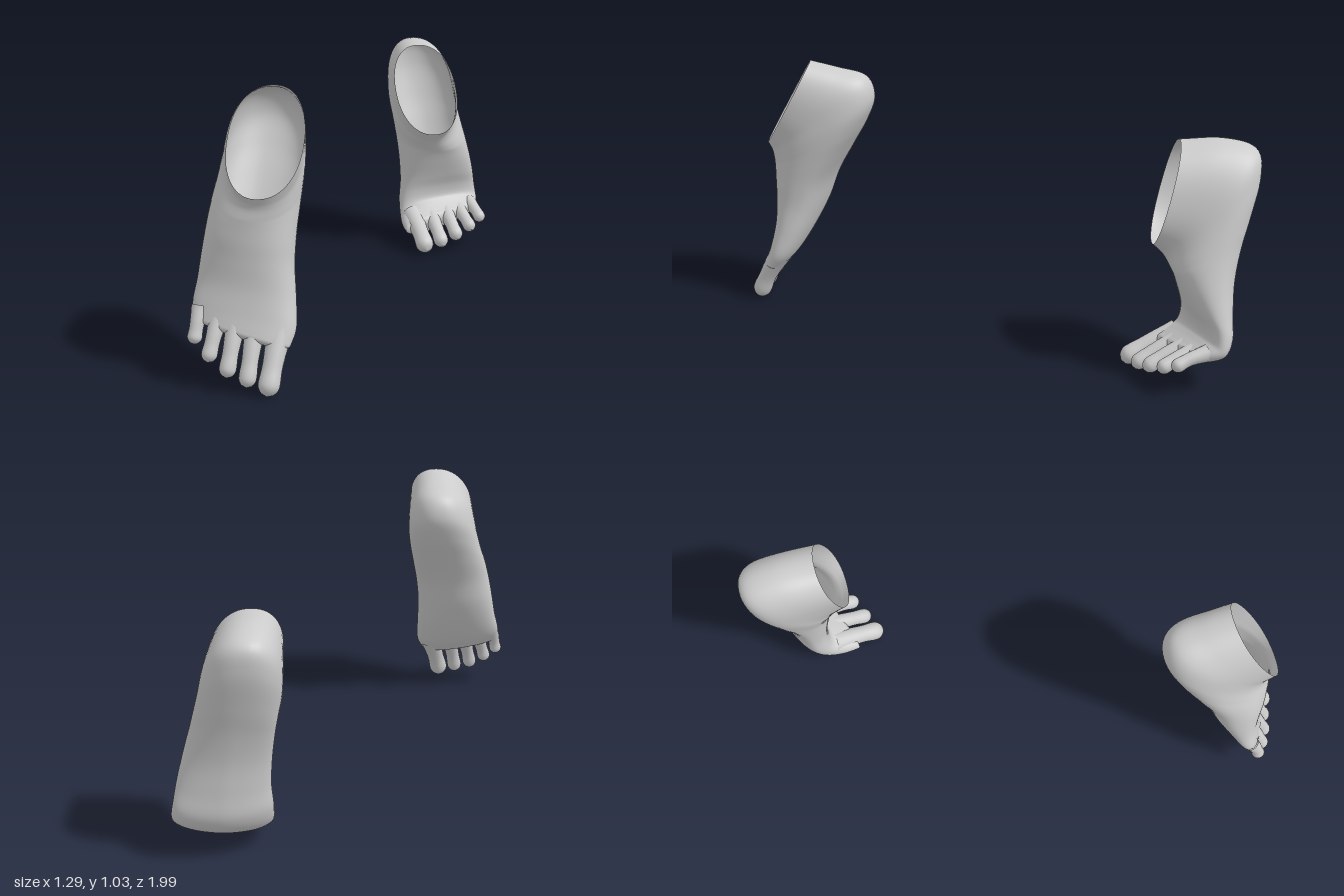
import * as THREE from 'three';
import { mergeVertices } from 'three/addons/utils/BufferGeometryUtils.js';

const V = (x, y, z) => new THREE.Vector3(x, y, z);
const material = new THREE.MeshStandardMaterial({ color: 0xcccccc, side: THREE.DoubleSide });
const signedPow = (v, e) => Math.sign(v) * Math.abs(v) ** e;
const spline = pts => new THREE.CatmullRomCurve3(pts, false, 'catmullrom', 0.5);

// Skin over rings of points that run from the toes to the ankle opening
function skin(rings) {
  const n = rings[0].length, index = [];
  for (let i = 0; i < rings.length - 1; i++) {
    for (let j = 0; j < n; j++) {
      const k = (j + 1) % n, a = i * n, b = a + n;
      index.push(a + j, a + k, b + k, a + j, b + k, b + j);
    }
  }
  const geo = new THREE.BufferGeometry().setFromPoints(rings.flat());
  geo.setIndex(index);
  geo.computeVertexNormals();
  return geo;
}

// Sections: [top z, top y, sole z, sole y, centre x, half width]; inner = side of the big toe
function footBody({ sections, inner, yaw, roll }) {
  const top = spline(sections.map(s => V(s[4], s[1], s[0])));
  const sole = spline(sections.map(s => V(s[4], s[3], s[2])));
  const width = spline(sections.map(s => V(s[5], 0, 0)));
  const N = 64, ROWS = 72, rings = [];

  const ring = u => {
    const f = top.getPoint(u), b = sole.getPoint(u), hw = width.getPoint(u).x;
    const mid = f.clone().add(b).multiplyScalar(0.5), half = f.clone().sub(b).multiplyScalar(0.5);
    const fade = Math.max(0, 1 - u * 1.7);
    const arch = 0.3 * Math.sin(Math.PI * Math.min(1, u * 1.35)) ** 2;
    return Array.from({ length: N }, (_, j) => {
      const a = j / N * Math.PI * 2;
      const c = signedPow(Math.cos(a), 0.9), s = signedPow(Math.sin(a), 0.9);
      const side = s * inner;                                   // +1 at the big toe side
      let depth = c * (1 + 0.18 * side * fade);
      if (c < 0) depth *= 1 - arch * Math.max(0, side);         // hollow of the arch
      const p = mid.clone().addScaledVector(half, depth);
      p.x += s * hw - inner * 0.03 * c * u;
      p.z += yaw * hw * side * fade;
      p.y -= roll * hw * side * fade;
      return p;
    });
  };

  // rounded end between the toes
  const first = ring(0), centre = first.reduce((m, p) => m.add(p), V(0, 0, 0)).divideScalar(N);
  const ahead = top.getPoint(0).add(sole.getPoint(0)).sub(top.getPoint(0.06)).sub(sole.getPoint(0.06)).normalize();
  for (let k = 0; k < 6; k++) {
    const a = k / 6 * Math.PI / 2;
    rings.push(first.map(p => centre.clone().lerp(p, Math.max(0.001, Math.sin(a)))
      .addScaledVector(ahead, 0.025 * Math.cos(a))));
  }
  for (let i = 0; i <= ROWS; i++) rings.push(ring(i / ROWS));
  return skin(rings);
}

// Toe: a tube with a thick root, a narrow neck and a round pad
function toe(base, tip, r) {
  const a = V(...base), b = V(...tip);
  const mid = a.clone().lerp(b, 0.5).add(V(0, 0.006, 0.004));
  const curve = spline([a, mid, b]), SEG = 36, RAD = 20, length = curve.getLength();
  const geo = new THREE.TubeGeometry(curve, SEG, 1, RAD);
  const pos = geo.attributes.position, p = V(0, 0, 0);
  for (let i = 0; i <= SEG; i++) {
    const t = i / SEG, c = curve.getPointAt(t);
    const end = Math.max(0, 1 - (1 - t) * length / r);
    const radius = r * (0.86 + 0.4 * (1 - t) ** 2 + 0.14 * Math.exp(-(((t - 0.82) / 0.16) ** 2)))
      * Math.sqrt(Math.max(0.0001, 1 - end * end));
    for (let j = 0; j <= RAD; j++) {
      const k = i * (RAD + 1) + j;
      p.fromBufferAttribute(pos, k).sub(c).multiplyScalar(radius).add(c);
      pos.setXYZ(k, p.x, p.y, p.z);
    }
  }
  geo.deleteAttribute('uv');
  geo.deleteAttribute('normal');
  const merged = mergeVertices(geo, 1e-5);
  merged.computeVertexNormals();
  return merged;
}

const toeNames = ['bigToe', 'secondToe', 'thirdToe', 'fourthToe', 'littleToe'];
const toeRadii = [0.038, 0.031, 0.03, 0.028, 0.026];

// Right foot: pointed down
const rightFoot = {
  name: 'rightFoot', inner: 1, yaw: 0.3, roll: 0.25,
  sections: [
    [0.90, 0.215, 0.815, 0.19, -0.455, 0.162],
    [0.885, 0.275, 0.77, 0.24, -0.447, 0.178],
    [0.872, 0.36, 0.715, 0.33, -0.437, 0.17],
    [0.872, 0.45, 0.66, 0.44, -0.43, 0.161],
    [0.877, 0.52, 0.615, 0.56, -0.417, 0.157],
    [0.88, 0.57, 0.55, 0.68, -0.40, 0.155],
    [0.883, 0.61, 0.49, 0.79, -0.382, 0.151],
    [0.885, 0.64, 0.457, 0.89, -0.369, 0.146],
    [0.89, 0.66, 0.49, 0.975, -0.364, 0.14],
    [0.897, 0.675, 0.60, 1.01, -0.364, 0.135],
    [0.905, 0.69, 0.715, 1.04, -0.365, 0.13],
  ],
  toes: [
    [[-0.325, 0.22, 0.865], [-0.378, 0.008, 0.972]],
    [[-0.41, 0.23, 0.86], [-0.447, 0.032, 0.945]],
    [[-0.475, 0.24, 0.845], [-0.515, 0.06, 0.92]],
    [[-0.535, 0.25, 0.825], [-0.578, 0.105, 0.885]],
    [[-0.598, 0.28, 0.8], [-0.625, 0.158, 0.845]],
  ],
};

// Left foot: heel raised, bent at the ball
const leftFoot = {
  name: 'leftFoot', inner: -1, yaw: 0.45, roll: 0.18,
  sections: [
    [-0.69, 0.16, -0.695, 0.085, 0.445, 0.162],
    [-0.73, 0.19, -0.765, 0.085, 0.448, 0.176],
    [-0.75, 0.215, -0.84, 0.11, 0.448, 0.178],
    [-0.745, 0.26, -0.885, 0.18, 0.443, 0.174],
    [-0.725, 0.31, -0.895, 0.28, 0.44, 0.165],
    [-0.70, 0.37, -0.905, 0.40, 0.428, 0.158],
    [-0.68, 0.42, -0.93, 0.52, 0.412, 0.153],
    [-0.665, 0.45, -0.965, 0.64, 0.395, 0.15],
    [-0.65, 0.475, -0.998, 0.78, 0.376, 0.147],
    [-0.635, 0.495, -0.982, 0.875, 0.368, 0.142],
    [-0.62, 0.51, -0.86, 0.91, 0.366, 0.136],
    [-0.60, 0.53, -0.70, 0.905, 0.368, 0.131],
  ],
  toes: [
    [[0.322, 0.135, -0.72], [0.362, 0.035, -0.505]],
    [[0.40, 0.14, -0.72], [0.437, 0.043, -0.54]],
    [[0.47, 0.145, -0.74], [0.507, 0.062, -0.575]],
    [[0.53, 0.15, -0.765], [0.575, 0.088, -0.62]],
    [[0.588, 0.165, -0.80], [0.625, 0.118, -0.665]],
  ],
};

export function createModel() {
  const model = new THREE.Group();
  model.name = 'pairOfFeet';
  for (const spec of [rightFoot, leftFoot]) {
    const foot = new THREE.Group();
    foot.name = spec.name;
    const add = (name, geo) => {
      const mesh = new THREE.Mesh(geo, material);
      mesh.name = name;
      foot.add(mesh);
    };
    add('footBody', footBody(spec));
    spec.toes.forEach(([base, tip], i) => add(toeNames[i], toe(base, tip, toeRadii[i])));
    model.add(foot);
  }
  return model;
}
